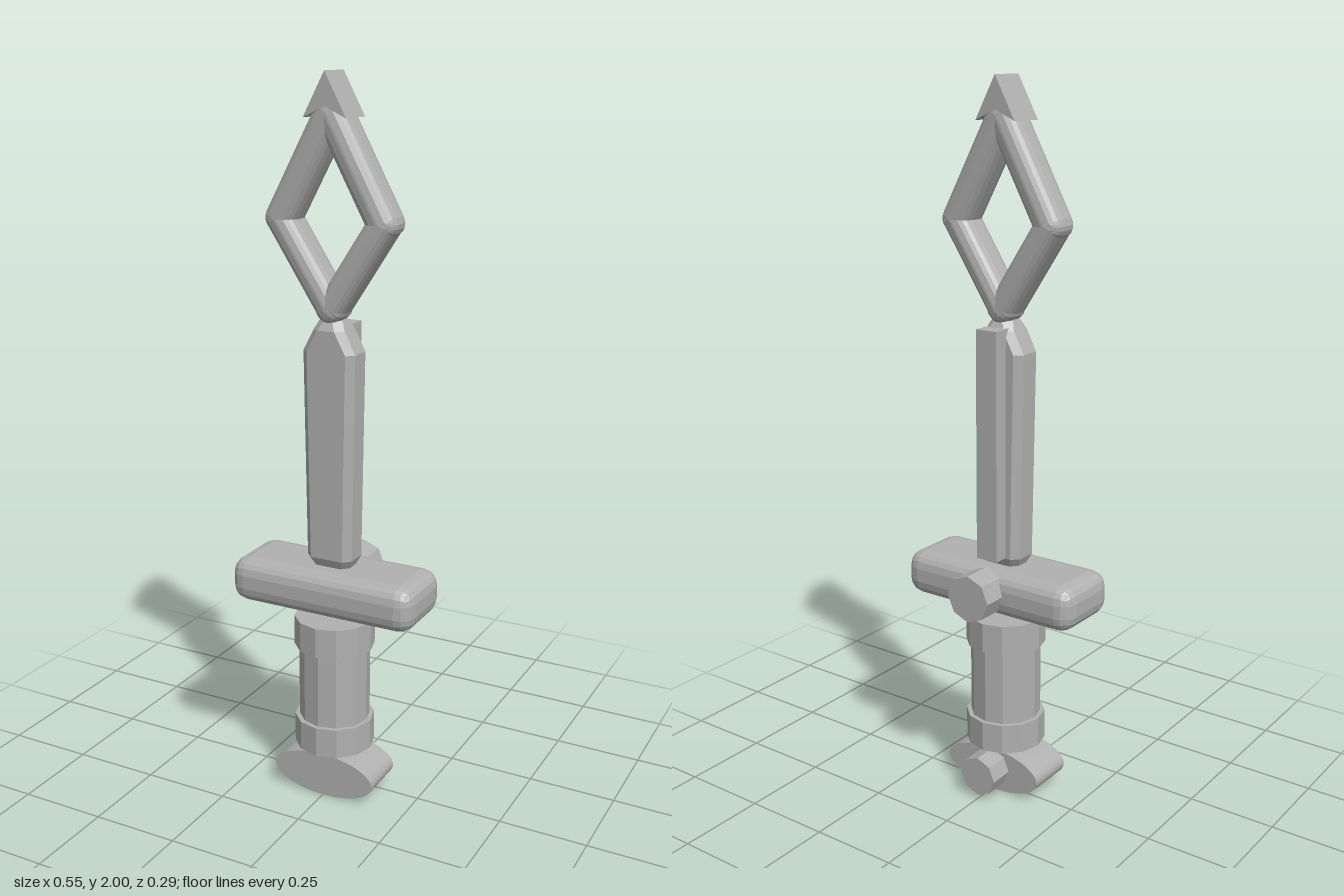
import * as THREE from 'three';
import { RoundedBoxGeometry } from 'three/addons/geometries/RoundedBoxGeometry.js';
import { ConvexGeometry } from 'three/addons/geometries/ConvexGeometry.js';

const ZC = 0.032; // depth centre of the weapon

export function createModel() {
  const group = new THREE.Group();
  const grey = new THREE.MeshStandardMaterial({ color: 0xb0b0b0 });
  grey.name = 'plainGrey';

  // Adds a faceted mesh
  const add = (name, geometry, x, y, z, rotZ = 0) => {
    const g = geometry.index ? geometry.toNonIndexed() : geometry;
    g.computeVertexNormals();
    const mesh = new THREE.Mesh(g, grey);
    mesh.name = name;
    mesh.position.set(x, y, z);
    mesh.rotation.z = rotZ;
    group.add(mesh);
  };

  // Pommel: oval disc, with an octagonal stud behind
  const oval = new THREE.Shape().absellipse(0, 0, 0.155, 0.065, 0, Math.PI * 2);
  add('pommel', new THREE.ExtrudeGeometry(oval, { depth: 0.142, bevelEnabled: false, curveSegments: 32 }), 0, 0.07 - 0.005, -0.035);
  const stud = (name, radius, y, zBack, zFront) =>
    add(name, new THREE.CylinderGeometry(radius, radius, zFront - zBack, 8).rotateX(Math.PI / 2), 0, y, (zBack + zFront) / 2);
  stud('pommelStud', 0.058, 0.071, -0.107, -0.03);
  stud('guardStud', 0.067, 0.63, -0.148, -0.06);

  // Grip with a collar at each end
  add('grip', new THREE.CylinderGeometry(0.1, 0.1, 0.36, 12), 0, 0.338, ZC);
  for (const [name, y] of [['lowerCollar', 0.187], ['upperCollar', 0.491]])
    add(name, new THREE.CylinderGeometry(0.113, 0.113, 0.086, 12), 0, y, ZC);

  // Crossguard
  add('guard', new RoundedBoxGeometry(0.554, 0.128, 0.222, 2, 0.045), 0, 0.626, ZC);

  // Blade: chamfered sections of [height, half width, half depth]
  const points = [];
  for (const [y, w, d] of [[0.685, 0.055, 0.036], [0.715, 0.068, 0.049], [1.29, 0.077, 0.049], [1.35, 0.045, 0.049], [1.375, 0.033, 0.036]])
    for (const sx of [-1, 1])
      for (const sz of [-1, 1]) {
        points.push(new THREE.Vector3(sx * w, y, sz * (d - 0.02)));
        points.push(new THREE.Vector3(sx * (w - 0.02), y, sz * d));
      }
  add('blade', new ConvexGeometry(points), 0, 0, ZC);
  add('bladeSpine', new THREE.BoxGeometry(0.066, 0.64, 0.06), 0, 1.037, -0.03);

  // Diamond frame from four rounded bars
  const bar = (name, x0, y0, x1, y1, width) => {
    const length = Math.hypot(x1 - x0, y1 - y0) + 0.08;
    add(name, new RoundedBoxGeometry(width, length, 0.108, 2, width * 0.46),
      (x0 + x1) / 2, (y0 + y1) / 2, ZC, -Math.atan2(x1 - x0, y1 - y0));
  };
  for (const [side, s] of [['left', 1], ['right', -1]]) {
    bar(side + 'LowerBar', 0, 1.405, s * 0.147, 1.63, 0.078);
    bar(side + 'UpperBar', s * 0.147, 1.63, 0, 1.9, 0.085);
  }

  // Chevron tip
  const tip = new THREE.Shape([[0, 2], [-0.061, 1.887], [0, 1.915], [0.061, 1.887]].map(([x, y]) => new THREE.Vector2(x, y)));
  add('tip', new THREE.ExtrudeGeometry(tip, { depth: 0.104, bevelEnabled: false }), 0, 0, ZC - 0.052);

  return group;
}
